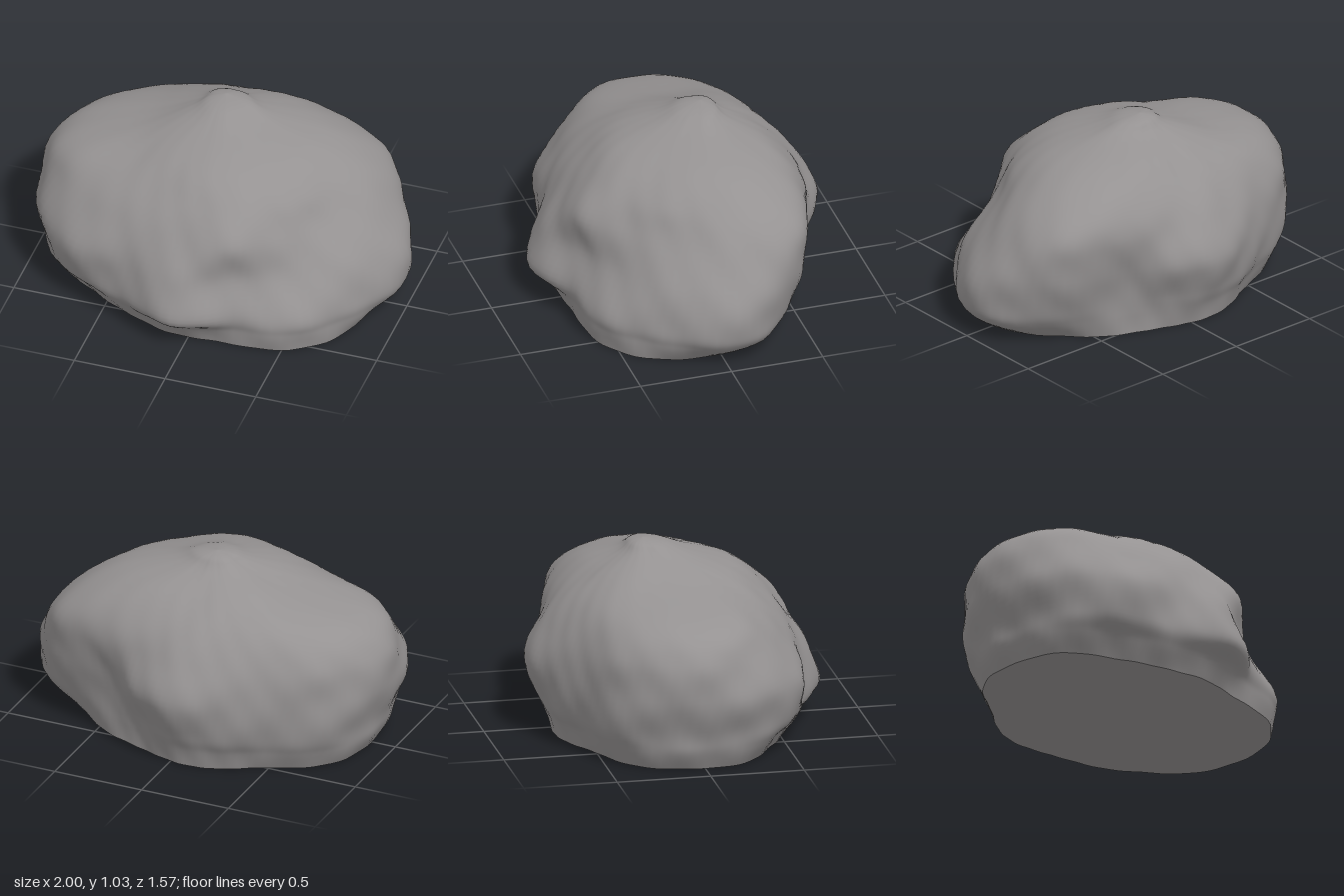
import * as THREE from 'three';
import { mergeVertices } from 'three/addons/utils/BufferGeometryUtils.js';

// Heights of the cross-sections, ending with the knob and the peak
const HEIGHTS = [0, 0.1, 0.2, 0.4, 0.6, 0.75, 0.87, 0.96, 1.01, 1.03];

// Radius at each height below the knob, one row per 22.5 degrees from +x round through +z
const RADII = [
  [0.84, 1.0, 1.045, 1.0, 0.87, 0.73, 0.54, 0.25],
  [0.91, 0.96, 0.98, 0.92, 0.75, 0.65, 0.49, 0.23],
  [0.9, 0.92, 0.91, 0.78, 0.69, 0.61, 0.45, 0.22],
  [0.76, 0.79, 0.81, 0.74, 0.75, 0.62, 0.46, 0.22],
  [0.72, 0.78, 0.88, 0.81, 0.69, 0.57, 0.44, 0.21],
  [0.7, 0.76, 0.8, 0.78, 0.7, 0.57, 0.42, 0.2],
  [0.73, 0.8, 0.88, 0.9, 0.77, 0.62, 0.41, 0.19],
  [0.83, 0.89, 0.93, 0.97, 0.9, 0.77, 0.4, 0.18],
  [0.81, 0.86, 0.88, 0.94, 0.92, 0.78, 0.37, 0.16],
  [0.72, 0.78, 0.82, 0.84, 0.81, 0.68, 0.38, 0.16],
  [0.58, 0.63, 0.67, 0.69, 0.65, 0.55, 0.36, 0.16],
  [0.56, 0.59, 0.63, 0.66, 0.6, 0.49, 0.33, 0.15],
  [0.55, 0.58, 0.62, 0.69, 0.6, 0.48, 0.32, 0.15],
  [0.53, 0.55, 0.58, 0.65, 0.6, 0.51, 0.37, 0.16],
  [0.59, 0.59, 0.6, 0.64, 0.69, 0.62, 0.45, 0.19],
  [0.69, 0.77, 0.83, 0.9, 0.89, 0.76, 0.53, 0.22],
];
const SIDES = 112;
const ROWS = 63;
const CENTRE = { x: -0.05, z: -0.1 };

// Catmull-Rom through four values
function blend(a, b, c, d, t) {
  return b + 0.5 * t * (c - a + t * (2 * a - 5 * b + 4 * c - d + t * (3 * (b - c) + d - a)));
}

// Smooth value at position s along a list
function sample(list, s) {
  const last = list.length - 1;
  const i = Math.min(Math.floor(s), last - 1);
  const at = (k) => list[THREE.MathUtils.clamp(k, 0, last)];
  return blend(at(i - 1), at(i), at(i + 1), at(i + 2), s - i);
}

// Each row continues to a small blunt knob and closes at the peak
const PROFILES = RADII.map((row) => [...row, row[7] * 0.5, 0]);

// Radius between the listed directions, wrapping round
function radiusAt(u, s) {
  const n = PROFILES.length;
  const i = Math.floor(u);
  const at = (k) => sample(PROFILES[(k + n) % n], s);
  return blend(at(i - 1), at(i), at(i + 1), at(i + 2), u - i);
}

// Weathered ripples that slant round the stone
function ripple(a, y) {
  return 0.006 * Math.sin(5 * a + 13 * y) * Math.sin(3 * a - 9 * y + 1)
    + 0.005 * Math.sin(11 * a + 17 * y + 2) + 0.004 * Math.sin(23 * a - 21 * y);
}

function point(i, j) {
  const turn = (i % SIDES) / SIDES;
  const a = turn * Math.PI * 2;
  const s = (j / ROWS) * (HEIGHTS.length - 1);
  const y = sample(HEIGHTS, s);
  const r = j === ROWS ? 0 : radiusAt(turn * PROFILES.length, s) * (1 + ripple(a, y));
  const lean = -0.06 * Math.pow(y / 1.03, 8); // the knob leans backward
  return [CENTRE.x + r * Math.cos(a), y, CENTRE.z + lean + r * Math.sin(a)];
}

function geometryFrom(positions, index) {
  let geometry = new THREE.BufferGeometry();
  geometry.setAttribute('position', new THREE.Float32BufferAttribute(positions, 3));
  geometry.setIndex(index);
  geometry = mergeVertices(geometry, 1e-5);
  geometry.computeVertexNormals();
  return geometry;
}

function createBody() {
  const positions = [];
  const index = [];
  for (let j = 0; j <= ROWS; j++) {
    for (let i = 0; i < SIDES; i++) positions.push(...point(i, j));
  }
  for (let j = 0; j < ROWS; j++) {
    for (let i = 0; i < SIDES; i++) {
      const a = j * SIDES + i;
      const b = j * SIDES + ((i + 1) % SIDES);
      index.push(a, a + SIDES, b);
      if (j < ROWS - 1) index.push(b, a + SIDES, b + SIDES);
    }
  }
  return geometryFrom(positions, index);
}

function createBase() {
  const positions = [CENTRE.x, 0, CENTRE.z];
  const index = [];
  for (let i = 0; i < SIDES; i++) {
    positions.push(...point(i, 0));
    index.push(0, i + 1, ((i + 1) % SIDES) + 1);
  }
  return geometryFrom(positions, index);
}

export function createModel() {
  const stone = new THREE.MeshStandardMaterial({ color: 0x959292 });
  stone.name = 'stone grey';

  // Weathered surface and flat underside
  const body = new THREE.Mesh(createBody(), stone);
  body.name = 'boulderSurface';
  const base = new THREE.Mesh(createBase(), stone);
  base.name = 'flatUnderside';

  const model = new THREE.Group();
  model.name = 'boulder';
  model.add(body, base);
  return model;
}
